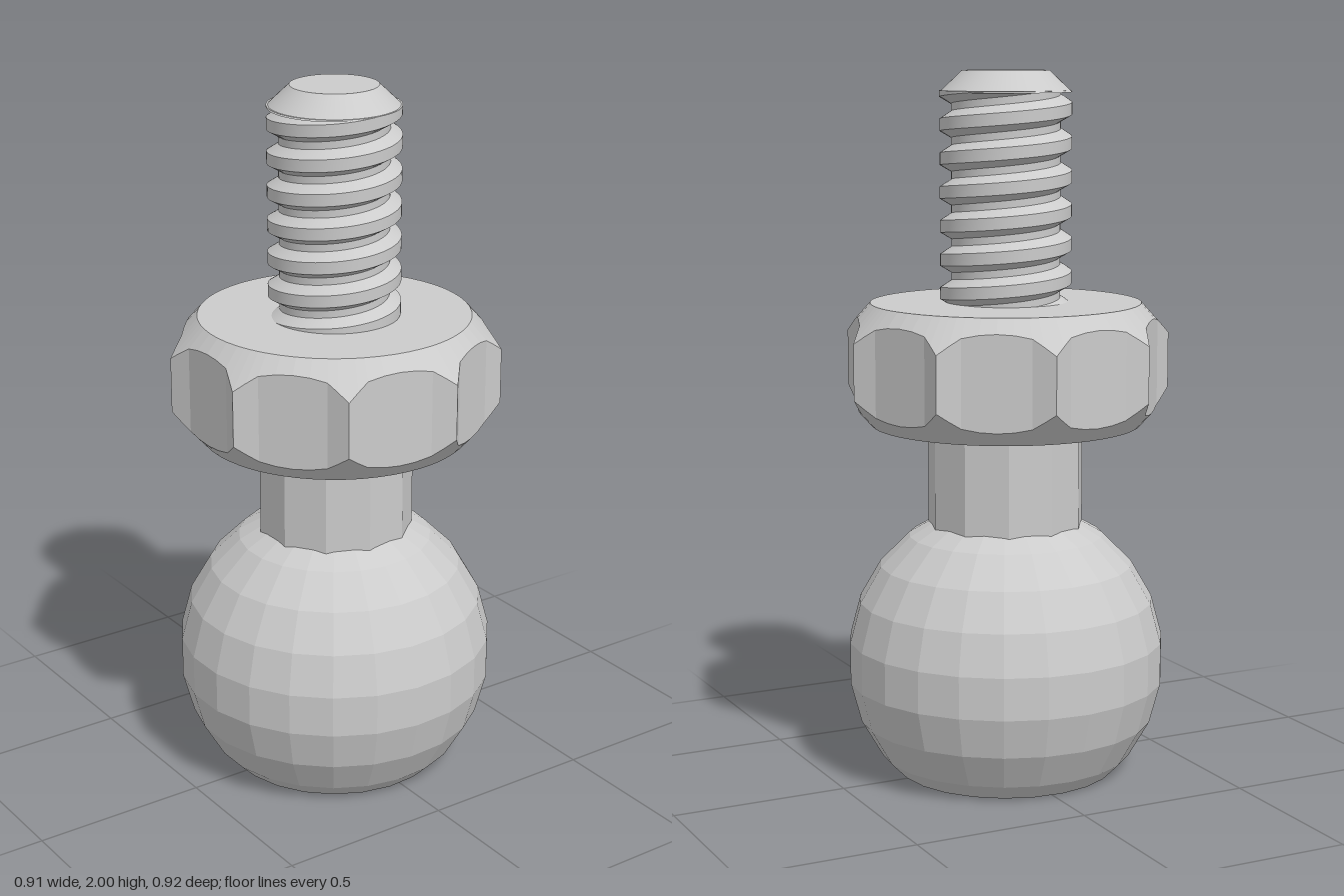
import * as THREE from 'three';
import { toCreasedNormals } from 'three/addons/utils/BufferGeometryUtils.js';

const TAU = Math.PI * 2;
const flat = new THREE.MeshStandardMaterial({ color: 0xcccccc, flatShading: true });
const smooth = new THREE.MeshStandardMaterial({ color: 0xcccccc });

// Skin a stack of cross-sections (bottom to top, counter-clockwise from above).
// point(row, col) returns [radius, angle, y].
function skin(rows, cols, point) {
  const pos = [], index = [];
  for (let i = 0; i < rows; i++) {
    for (let j = 0; j <= cols; j++) {
      const [r, a, y] = point(i, j);
      pos.push(r * Math.cos(a), y, -r * Math.sin(a));
      if (i < rows - 1 && j < cols) {
        const p = i * (cols + 1) + j, q = p + cols + 1;
        index.push(p, p + 1, q + 1, p, q + 1, q);
      }
    }
  }
  const g = new THREE.BufferGeometry();
  g.setAttribute('position', new THREE.Float32BufferAttribute(pos, 3));
  g.setIndex(index);
  g.computeVertexNormals();
  return g;
}

// Turned part with a given number of sides; profile is [radius, y] pairs.
const turned = (profile, sides) =>
  skin(profile.length, sides, (i, j) => [profile[i][0], (j / sides) * TAU, profile[i][1]]);

// Faceted ball, cut flat at the base
function ballGeometry() {
  const R = 0.456, cy = 0.325, profile = [[0, 0], [0.315, 0]];
  for (let deg = -37.5; deg < 70; deg += 15) {
    const a = THREE.MathUtils.degToRad(deg);
    profile.push([R * Math.cos(a), cy + R * Math.sin(a)]);
  }
  return turned(profile, 23);
}

// Grip ring: nine pointed teeth with flat scoops between, chamfered top and bottom
function gripGeometry() {
  const teeth = 9, half = Math.PI / teeth, tip = 0.467, rim = 0.383, y0 = 1.01, y1 = 1.355;
  const floor = 0.418, floorHalf = 0.095;
  const tx = tip * Math.cos(half), tz = tip * Math.sin(half);
  // one scoop, from tooth tip to tooth tip
  const scoop = [[tx, -tz], [(tx + floor) / 2, -(tz + floorHalf) / 2]];
  for (let k = -2; k <= 2; k++) scoop.push([floor, (floorHalf * k) / 2]);
  scoop.push([(tx + floor) / 2, (tz + floorHalf) / 2]);
  const n = scoop.length;
  return skin(6, teeth * n, (i, j) => {
    const [u, v] = scoop[j % n];
    const a = Math.atan2(v, u) + half + Math.floor(j / n) * 2 * half;
    const r = Math.hypot(u, v), drop = (r - rim) * 1.12;
    return [
      [0, a, y0], [rim, a, y0], [r, a, y0 + drop],
      [r, a, y1 - drop], [rim, a, y1], [0, a, y1],
    ][i];
  });
}

// Right-hand screw thread with flat crests, trimmed level at both ends
function threadGeometry() {
  const pitch = 0.094, y0 = 1.33, y1 = 1.945, root = 0.153, crest = 0.185;
  const profile = [[0, root], [0.22, root], [0.42, crest], [0.78, crest]];
  const turns = Math.ceil((y1 - y0) / pitch) + 2, cols = 64;
  const g = skin(turns * 4, cols, (i, j) => {
    const [f, r] = profile[i % 4];
    const y = y0 + (Math.floor(i / 4) - 1 + f + j / cols) * pitch;
    return [r, (j / cols) * TAU, THREE.MathUtils.clamp(y, y0, y1)];
  });
  return toCreasedNormals(g, 0.4);
}

export function createModel() {
  const model = new THREE.Group();
  const add = (name, geometry, material = flat) => {
    const mesh = new THREE.Mesh(geometry, material);
    mesh.name = name;
    mesh.position.x = -0.012;
    model.add(mesh);
  };

  add('ball', ballGeometry());
  add('neck', turned([[0.223, 0.66], [0.223, 1.02]], 11));
  add('gripRing', gripGeometry());
  add('screwThread', threadGeometry(), smooth);
  // Chamfered screw end
  const tipProfile = [[0, 1.94], [0.185, 1.94], [0.122, 2], [0, 2]];
  add('screwTip', toCreasedNormals(turned(tipProfile, 64), 0.4), smooth);
  return model;
}
